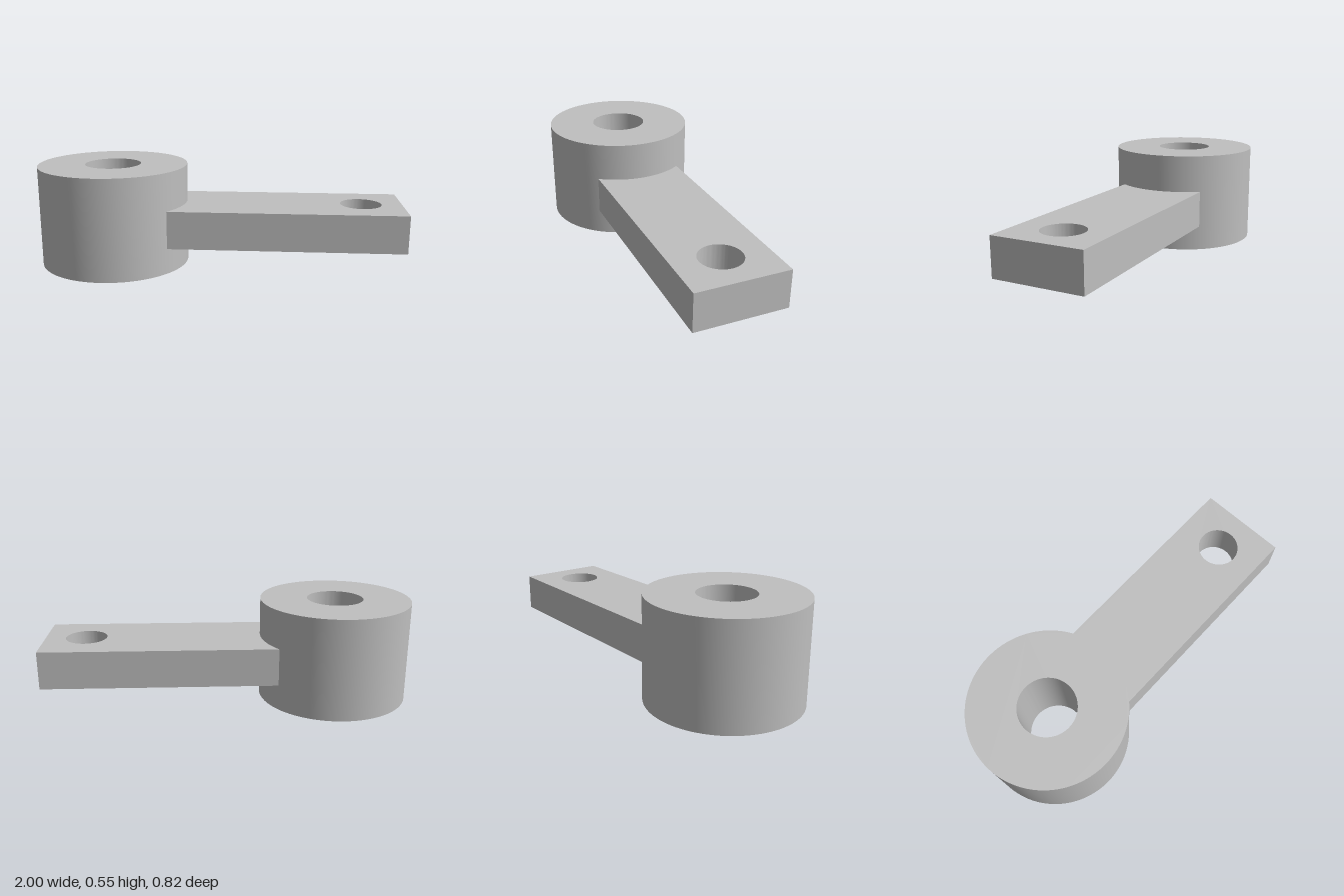
import * as THREE from 'three';
import { toCreasedNormals } from 'three/addons/utils/BufferGeometryUtils.js';

const HUB_X = -0.59, HUB_R = 0.41, BORE_R = 0.153, HUB_H = 0.55;
const ARM_HALF = 0.245, ARM_Y = 0.138, ARM_H = 0.205;
const PIN_X = 0.777, PIN_R = 0.112;

// Round hole outline
function hole(x, r) {
  return new THREE.Path().absarc(x, 0, r, 0, Math.PI * 2, true);
}

// Extrude a plan outline upwards from height y
function plate(name, shape, y, height, material) {
  const flat = new THREE.ExtrudeGeometry(shape, { depth: height, bevelEnabled: false, curveSegments: 48 });
  flat.rotateX(-Math.PI / 2);
  const mesh = new THREE.Mesh(toCreasedNormals(flat, Math.PI / 6), material);
  mesh.name = name;
  mesh.position.y = y;
  return mesh;
}

export function createModel() {
  const group = new THREE.Group();
  group.name = 'leverArm';
  const steel = new THREE.MeshStandardMaterial({ color: 0xbfbfbf });
  steel.name = 'plain grey';

  // Thick hub with a through bore
  const hub = new THREE.Shape().absarc(HUB_X, 0, HUB_R, 0, Math.PI * 2, false);
  hub.holes.push(hole(HUB_X, BORE_R));
  group.add(plate('hub', hub, 0, HUB_H, steel));

  // Flat arm, its inner end curved to seat just inside the hub wall
  const seatR = HUB_R - 0.004;
  const a = Math.asin(ARM_HALF / seatR);
  const arm = new THREE.Shape();
  arm.moveTo(1, -ARM_HALF);
  arm.lineTo(1, ARM_HALF);
  arm.absarc(HUB_X, 0, seatR, a, -a, true);
  arm.closePath();
  arm.holes.push(hole(PIN_X, PIN_R));
  group.add(plate('arm', arm, ARM_Y, ARM_H, steel));

  return group;
}
